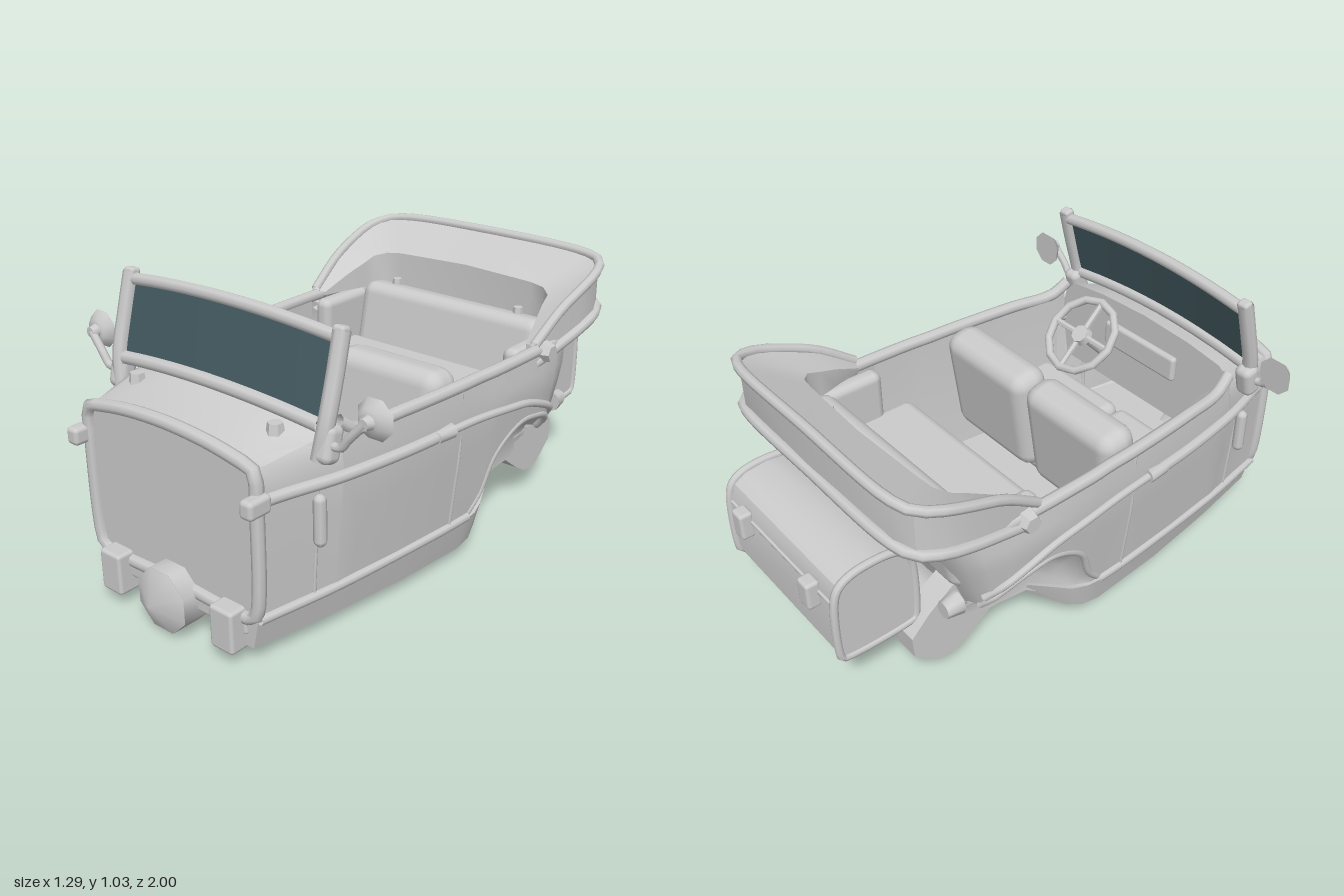
import * as THREE from 'three';
import { toCreasedNormals } from 'three/addons/utils/BufferGeometryUtils.js';
import { RoundedBoxGeometry } from 'three/addons/geometries/RoundedBoxGeometry.js';

const grey = new THREE.MeshStandardMaterial({ color: 0xcccccc, side: THREE.DoubleSide });
const glassMat = new THREE.MeshStandardMaterial({ color: 0x435a60, side: THREE.DoubleSide });
const V = (p) => new THREE.Vector3(...p);

function add(parent, name, geo, pos = [0, 0, 0], rot = [0, 0, 0], mat = grey) {
  const m = new THREE.Mesh(geo, mat);
  m.name = name;
  m.position.set(...pos);
  m.rotation.set(...rot);
  parent.add(m);
}
// Surface through rows of points
function grid(rows, crease = 0.6) {
  const n = rows[0].length, idx = [];
  for (let i = 0; i < rows.length - 1; i++)
    for (let j = 0; j < n - 1; j++) {
      const a = i * n + j, b = a + n;
      idx.push(a, b, a + 1, b, b + 1, a + 1);
    }
  const g = new THREE.BufferGeometry();
  g.setAttribute('position', new THREE.Float32BufferAttribute(rows.flat(2), 3));
  g.setIndex(idx);
  return toCreasedNormals(g, crease);
}
const tube = (pts, r, closed = false, seg = pts.length * 3) =>
  new THREE.TubeGeometry(new THREE.CatmullRomCurve3(pts.map(V), closed, 'centripetal'), seg, r, 8, closed);
const box = (w, h, d, r = 0.02) => new RoundedBoxGeometry(w, h, d, 2, r);
const cyl = (r0, r1, h, n = 8) => toCreasedNormals(new THREE.CylinderGeometry(r0, r1, h, n), 0.9);
// Extrude a [z, y] outline from x0 to x1
function sideExtrude(pts, x0, x1) {
  const s = new THREE.Shape(pts.map(([z, y]) => new THREE.Vector2(z, y)));
  const g = new THREE.ExtrudeGeometry(s, { depth: x1 - x0, bevelEnabled: false });
  return toCreasedNormals(g.rotateY(-Math.PI / 2).translate(x1, 0, 0), 0.5);
}
const mirrored = (half) => [...half, ...half.slice(0, -1).reverse().map(([x, y, z]) => [-x, y, z])];

// Half plan of the tub: x, z, lower edge, upper edge
const plan = [
  [0.37, 0.88, 0.17, 0.58], [0.4, 0.74, 0.17, 0.58], [0.44, 0.6, 0.17, 0.58], [0.442, 0.595, 0.17, 0.73],
  [0.453, 0.53, 0.17, 0.69], [0.48, 0.35, 0.17, 0.69], [0.505, 0.08, 0.17, 0.69], [0.51, -0.03, 0.18, 0.69],
  [0.515, -0.08, 0.24, 0.69], [0.518, -0.13, 0.36, 0.69], [0.52, -0.2, 0.42, 0.69], [0.522, -0.28, 0.45, 0.69],
  [0.522, -0.38, 0.44, 0.69], [0.518, -0.48, 0.42, 0.69], [0.5, -0.57, 0.38, 0.69], [0.46, -0.63, 0.33, 0.69],
  [0.39, -0.665, 0.3, 0.69], [0.2, -0.685, 0.28, 0.69], [0, -0.69, 0.28, 0.69],
];
const clamp = THREE.MathUtils.clamp;
// Sides tuck in towards the sill, less so at the bulkhead; the tail tucks forward
function wall(x, z, y) {
  const f = Math.max(0, (0.57 - y) / 0.4), t = Math.max(0, (y - 0.57) / 0.12);
  const taper = 0.03 + 0.06 * clamp((0.88 - z) / 0.4, 0, 1);
  return [x * (1 - taper * f - 0.02 * t), y, z + Math.max(0, (-0.35 - z) / 0.34) * (0.69 - y) * 0.4];
}
function planX(z) {
  for (let i = 1; i < plan.length; i++)
    if (z >= plan[i][1]) {
      const [a, b] = [plan[i - 1], plan[i]];
      return b[0] + ((a[0] - b[0]) * (z - b[1])) / (a[1] - b[1]);
    }
  return 0;
}

function buildBody(g) {
  const rows = [];
  for (let k = 0; k <= 6; k++) rows.push(mirrored(plan.map(([x, z, b, t]) => wall(x, z, b + ((t - b) * k) / 6))));
  add(g, 'bodyTub', grid(rows));
  add(g, 'tubRim', tube(mirrored(plan.slice(3).map(([x, z, , t]) => wall(x * 0.975, z, t - 0.005))), 0.022));

  // Scuttle and bulkhead
  const arch = (w, h, z) => mirrored([[w, 0.57, z], [w, 0.63, z], [w * 0.96, 0.66 + (h - 0.7) * 0.6, z],
    [w * 0.84, h - 0.03, z], [w * 0.5, h - 0.01, z], [0, h, z]]);
  add(g, 'scuttle', grid([arch(0.37, 0.7, 0.88), arch(0.38, 0.7, 0.84), arch(0.41, 0.74, 0.71), arch(0.44, 0.765, 0.6)], 0.8));
  const outline = (pts, z) => new THREE.ShapeGeometry(new THREE.Shape(pts.map((p) => new THREE.Vector2(p[0], p[1])))).translate(0, 0, z);
  const front = [[0.33, 0.165, 0.88], [0.35, 0.185, 0.88], ...arch(0.365, 0.7, 0.88), [-0.35, 0.185, 0.88], [-0.33, 0.165, 0.88]];
  add(g, 'bulkhead', outline(front, 0.88));
  add(g, 'bulkheadRim', tube([[0, 0.165, 0.88], ...front], 0.022, true, 60));
  add(g, 'dashboard', outline([[0.41, 0.4], ...arch(0.44, 0.765, 0.6), [-0.41, 0.4]], 0.6));
  add(g, 'instrumentPanel', box(0.36, 0.1, 0.03, 0.014), [0, 0.62, 0.59]);

  // Flat front floor and raised rear floor
  const fl = mirrored([...plan.slice(0, 8).map(([x, z]) => [x * 0.88, -z, 0]), [0, 0.03, 0]]);
  const fs = new THREE.Shape(fl.map((p) => new THREE.Vector2(p[0], p[1])));
  add(g, 'frontFloor', new THREE.ExtrudeGeometry(fs, { depth: 0.03, bevelEnabled: false }), [0, 0.165, 0], [-Math.PI / 2, 0, 0]);
  add(g, 'rearFloor', sideExtrude([[-0.02, 0.195], [-0.02, 0.165], [-0.1, 0.18], [-0.25, 0.25], [-0.6, 0.28], [-0.6, 0.31], [-0.25, 0.3]], -0.36, 0.36));
}

function buildSide(s) {
  // Sill under the doors, running up behind into the wheel well
  const prof = [[0.88, 0.17, 0.06], [0.6, 0.165, 0.053], [0.3, 0.16, 0.048], [0, 0.16, 0.045], [-0.07, 0.165, 0.055], [-0.13, 0.17, 0.075], [-0.28, 0.24, 0.195]];
  const sill = prof.map(([z, t, b]) => {
    const x = planX(z) * 0.92 + (z > 0.8 ? 0.015 : 0) - Math.max(0, -0.05 - z) * 0.4;
    return [[x, t, z], [x - 0.025, b, z], [x - 0.13, b, z], [x - 0.13, t, z], [x, t, z]];
  });
  add(s, 'sill', grid(sill, 0.5));
  add(s, 'sillFront', grid([[sill[0][0], sill[0][3]], [sill[0][1], sill[0][2]]]));
  add(s, 'sillMoulding', tube([0.88, 0.6, 0.3, 0.08, -0.02].map((z) => wall(planX(z), z, 0.17)), 0.016));

  // Wheel well: lip and hollow panel running down to the rear fairing
  const lip = plan.slice(7, 16).map(([x, z, b]) => wall(x, z, b));
  const foot = [[-0.07, 0.14, 0.455], [-0.13, 0.13, 0.43], [-0.21, 0.17, 0.4], [-0.28, 0.21, 0.38], [-0.37, 0.21, 0.37],
    [-0.43, 0.21, 0.365], [-0.48, 0.22, 0.36], [-0.53, 0.24, 0.36], [-0.56, 0.28, 0.36]].map(([z, y, x]) => [x, y, z]);
  const hollow = (t, k) => lip.map((p, i) => p.map((v, c) => v + (foot[i][c] - v) * (c ? t : k)));
  add(s, 'wheelArchLip', tube(lip.map(([x, y, z]) => [x - 0.008, y, z]), 0.013));
  add(s, 'wheelWell', grid([lip, hollow(0.12, 0.35), hollow(0.4, 0.8), hollow(0.7, 1), foot], 1));
  add(s, 'rearFairing', sideExtrude([[-0.3, 0.25], [-0.27, 0.2], [-0.42, 0.2], [-0.5, 0.14], [-0.56, 0.105], [-0.61, 0.1],
    [-0.65, 0.115], [-0.725, 0.18], [-0.73, 0.26], [-0.66, 0.33], [-0.56, 0.4], [-0.52, 0.33], [-0.45, 0.25]], 0.27, 0.36));

  // Waist moulding, tail lamp, door details
  const onWall = ([z, y], out) => { const p = wall(planX(z), z, y); return [p[0] + out, p[1], p[2]]; };
  add(s, 'waistMoulding', tube([[0.385, 0.555, 0.94], ...[[0.88, 0.56], [0.6, 0.56], [0.35, 0.56], [0.15, 0.56]].map((p) => onWall(p, 0.004))], 0.02));
  add(s, 'rearWaistMoulding', tube([[0.17, 0.56], [0, 0.555], [-0.15, 0.54], [-0.28, 0.52], [-0.42, 0.475], [-0.52, 0.44], [-0.61, 0.39]].map((p) => onWall(p, 0.004)), 0.014));
  add(s, 'mouldingEnd', box(0.05, 0.06, 0.09, 0.015), [0.38, 0.562, 0.9]);
  add(s, 'tailLamp', cyl(0.04, 0.03, 0.06), [0.43, 0.4, -0.625], [Math.PI / 2, 0, 0]);
  add(s, 'doorHandle', cyl(0.02, 0.026, 0.08), [0.5, 0.56, 0.18], [Math.PI / 2, 0, 0]);
  add(s, 'doorPull', new THREE.CapsuleGeometry(0.021, 0.13, 3, 8), [0.43, 0.445, 0.69]);
  for (const z of [0.68, 0.08])
    add(s, 'doorSeam', tube([0.18, 0.32, 0.45, z > 0.5 ? 0.57 : 0.69].map((y) => onWall([z, y], 0)), 0.006));
  const lining = (y) => plan.slice(4, 12).map(([x, z, b]) => wall(x - 0.045, z, Math.max(y, b)));
  add(s, 'doorLining', grid([lining(0.68), lining(0.45), lining(0.19)]));

  // Windscreen post, clamp and mirror
  add(s, 'windscreenPost', tube([[0.43, 0.64, 0.69], [0.445, 0.75, 0.675], [0.447, 0.88, 0.64], [0.445, 1.01, 0.605]], 0.027));
  add(s, 'postCap', box(0.045, 0.05, 0.04, 0.012), [0.442, 1.0, 0.607], [-0.25, 0, 0]);
  add(s, 'postClamp', box(0.07, 0.12, 0.07, 0.025), [0.445, 0.69, 0.67], [-0.25, 0, 0]);
  add(s, 'mirrorArm', tube([[0.44, 0.7, 0.68], [0.5, 0.695, 0.68], [0.53, 0.73, 0.68], [0.585, 0.79, 0.675]], 0.014));
  add(s, 'mirror', cyl(0.04, 0.067, 0.03), [0.585, 0.79, 0.645], [Math.PI / 2, Math.PI / 8, 0]);
  add(s, 'mirrorHub', cyl(0.018, 0.025, 0.03), [0.585, 0.79, 0.67], [Math.PI / 2, 0, 0]);
  add(s, 'scuttleStud', cyl(0.024, 0.032, 0.05, 6), [0.3, 0.71, 0.73]);
  add(s, 'hoodStud', cyl(0.018, 0.022, 0.04, 6), [0.28, 0.72, -0.58]);
  add(s, 'hoodPivot', cyl(0.03, 0.045, 0.05, 6), [0.52, 0.675, -0.39], [0, 0, -Math.PI / 2]);

  // Seats
  add(s, 'frontSeatBack', box(0.44, 0.42, 0.15, 0.06), [0.222, 0.515, 0.1], [-0.14, 0, 0]);
  add(s, 'frontSeatCushion', box(0.425, 0.2, 0.36, 0.04), [0.215, 0.31, 0.33]);
  add(s, 'rearSeatArm', box(0.07, 0.24, 0.26, 0.03), [0.43, 0.57, -0.42]);

  // Chassis and luggage fittings
  add(s, 'chassisRailEnd', box(0.095, 0.145, 0.1, 0.012), [0.252, 0.12, 0.89]);
  add(s, 'luggageBracket', sideExtrude([[-0.6, 0.19], [-0.6, 0.29], [-0.9, 0.29], [-0.88, 0.26], [-0.72, 0.22]], 0.18, 0.22));
  add(s, 'trunkLatch', box(0.06, 0.1, 0.05, 0.012), [0.2, 0.51, -0.975]);
}

function buildWindscreen(g) {
  const lean = ([x, y]) => [x, y, 0.675 - (y - 0.74) * 0.27 + 0.015 * (1 - (x / 0.42) ** 2)];
  const top = [], low = [];
  for (let i = 0; i <= 8; i++) {
    const u = i / 4 - 1, b = 1 - u * u;
    top.push(lean([u * 0.43, 0.988 + 0.025 * b]));
    low.push(lean([u * 0.42, 0.74 + 0.025 * b]));
  }
  add(g, 'windscreenGlass', grid([low, top]), [0, 0, 0], [0, 0, 0], glassMat);
  add(g, 'windscreenTopRail', tube(top, 0.021));
  add(g, 'windscreenBottomRail', tube(low, 0.023));
}

function buildFoldedHood(g) {
  // x, z, lower y, upper y of the outer skin, then x, z of the inner face
  const h = [[0.5, -0.34, 0.64, 0.71, 0.46, -0.35], [0.515, -0.48, 0.675, 0.805, 0.43, -0.46], [0.525, -0.6, 0.705, 0.855, 0.41, -0.53],
    [0.522, -0.7, 0.73, 0.89, 0.4, -0.58], [0.49, -0.775, 0.745, 0.91, 0.36, -0.615], [0.42, -0.805, 0.755, 0.92, 0.3, -0.625], [0, -0.815, 0.76, 0.93, 0, -0.64]];
  const low = mirrored(h.map(([x, z, b]) => [x, b, z]));
  const up = mirrored(h.map(([x, z, , t]) => [x, t, z]));
  const inner = (k) => mirrored(h.map(([, , , t, x, z]) => [x, 0.69 + (t - 0.69) * k, z]));
  add(g, 'foldedHood', grid([inner(0), low, up, inner(0.6), inner(0)], 0.7));
  add(g, 'hoodTopBead', tube(up, 0.018));
  add(g, 'hoodLowerBead', tube(low, 0.02));
}

function buildInterior(g) {
  add(g, 'rearSeatCushion', box(0.88, 0.11, 0.33, 0.04), [0, 0.455, -0.325]);
  add(g, 'rearSeatBase', box(0.72, 0.16, 0.3, 0.02), [0, 0.36, -0.335]);
  add(g, 'rearSeatBack', box(0.82, 0.32, 0.13, 0.05), [0, 0.56, -0.545], [-0.2, 0, 0]);
  const w = new THREE.Group();
  w.name = 'steeringWheel';
  w.position.set(0.2, 0.635, 0.475);
  w.rotation.x = -2.33;
  add(w, 'wheelRim', new THREE.TorusGeometry(0.145, 0.016, 8, 12));
  for (let i = 0; i < 2; i++) add(w, 'wheelSpoke', cyl(0.012, 0.012, 0.28, 6), [0, 0, 0], [0, 0, (i * Math.PI) / 2]);
  add(w, 'wheelHub', cyl(0.034, 0.04, 0.03), [0, 0, 0], [Math.PI / 2, 0, 0]);
  add(w, 'steeringColumn', cyl(0.016, 0.016, 0.36), [0, 0, -0.18], [Math.PI / 2, 0, 0]);
  g.add(w);
}

function buildChassisAndTrunk(g) {
  const axial = [Math.PI / 2, Math.PI / 8, 0];
  add(g, 'fuelTank', cyl(0.11, 0.11, 0.6, 12), [0, 0.235, -0.6], [0, 0, Math.PI / 2]);
  add(g, 'noseCone', cyl(0, 0.112, 0.055), [0, 0.122, 0.972], axial);
  add(g, 'noseDrum', cyl(0.112, 0.112, 0.12), [0, 0.122, 0.885], axial);
  add(g, 'gearbox', cyl(0.1, 0.05, 0.16), [0, 0.12, 0.75], axial);
  add(g, 'driveShaft', cyl(0.03, 0.03, 0.55), [0, 0.12, 0.42], axial);
  add(g, 'crossTube', cyl(0.018, 0.018, 0.72), [0, 0.13, 0.2], [0, 0, Math.PI / 2]);
  add(g, 'shaftJoint', cyl(0.042, 0.042, 0.08), [0, 0.12, 0.17], axial);
  add(g, 'drainPlug', cyl(0.025, 0.025, 0.04), [0, 0.025, 0.84]);
  add(g, 'frontCrossmember', box(0.62, 0.06, 0.04, 0.01), [0, 0.13, 0.87]);

  // Luggage trunk with a domed lid
  const t = [[-0.69, 0.3], [-0.682, 0.31], [-0.682, 0.54], [-0.7, 0.585], [-0.74, 0.61], [-0.82, 0.62], [-0.9, 0.61], [-0.94, 0.585], [-0.958, 0.54], [-0.958, 0.31], [-0.95, 0.3]];
  add(g, 'luggageTrunk', sideExtrude(t, -0.32, 0.32));
  for (const x of [-0.315, 0.315]) add(g, 'trunkEdge', tube(t.map(([z, y]) => [x, y, z]), 0.014, true, 60));
  add(g, 'trunkLidSeam', box(0.64, 0.016, 0.29, 0.006), [0, 0.52, -0.82]);
}

export function createModel() {
  const car = new THREE.Group();
  car.name = 'openTourerBody';
  buildBody(car);
  const left = new THREE.Group();
  left.name = 'leftSide';
  buildSide(left);
  const right = left.clone();
  right.name = 'rightSide';
  right.scale.x = -1;
  car.add(left, right);
  buildWindscreen(car);
  buildFoldedHood(car);
  buildInterior(car);
  buildChassisAndTrunk(car);
  return car;
}
